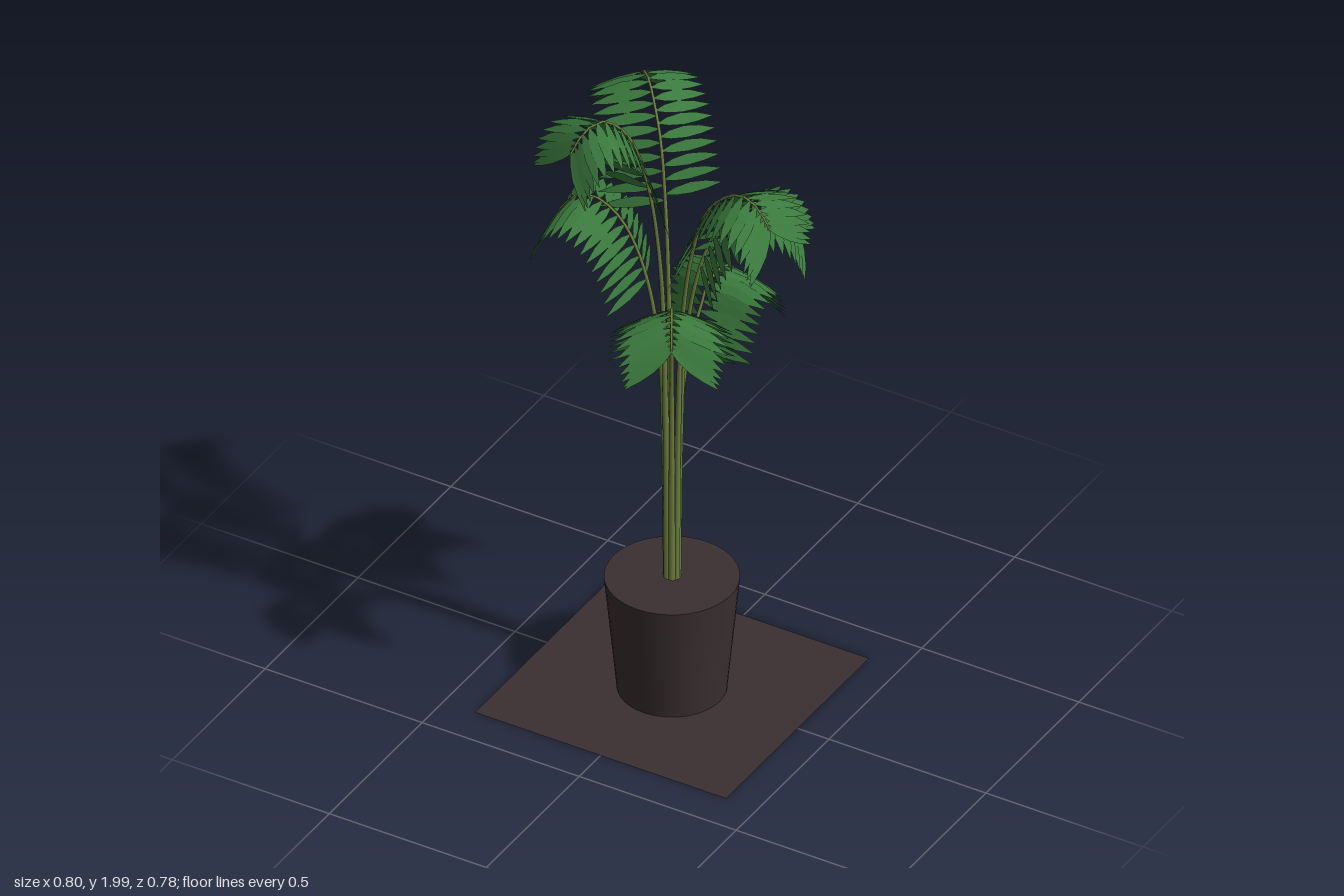
import * as THREE from 'three';

const leafGreen = new THREE.MeshStandardMaterial({ color: 0x3a793d, side: THREE.DoubleSide });
leafGreen.name = 'leafGreen';
const stemOlive = new THREE.MeshStandardMaterial({ color: 0x6f8240 });
stemOlive.name = 'stemOlive';
const potBrown = new THREE.MeshStandardMaterial({ color: 0x3a2f31, side: THREE.DoubleSide });
potBrown.name = 'potBrown';

const POT_HEIGHT = 0.37;
const UP = new THREE.Vector3(0, 1, 0);

// Tip x, tip z and peak height of every frond
const FRONDS = [
  [-0.26, -0.26, 1.87],
  [0.05, -0.28, 1.3],
  [0.31, -0.145, 1.65],
  [0.345, 0.055, 1.765],
  [0.155, 0.265, 1.415],
  [-0.145, 0.3, 1.995],
  [-0.325, 0.055, 1.595],
];

function addMesh(group, name, geometry, material) {
  const mesh = new THREE.Mesh(geometry, material);
  mesh.name = name;
  group.add(mesh);
  return mesh;
}

// Upright stalk that arches outward and droops at its end
function frondCurve(out, reach, peak) {
  const at = (r, y) => out.clone().multiplyScalar(r).setY(y);
  return new THREE.CatmullRomCurve3([
    at(0.014, POT_HEIGHT - 0.02),
    at(0.022, peak * 0.5),
    at(0.036, peak * 0.7),
    at(0.073, peak * 0.845),
    at(0.122, peak * 0.932),
    at(reach * 0.52, peak * 0.975),
    at(reach * 0.7, peak - 0.006),
    at(reach * 0.86, peak - 0.018),
    at(reach, peak - 0.075),
  ]);
}

// Tube whose radius shrinks toward the tip
function taperedTube(curve) {
  const segments = 40, sides = 7;
  const geometry = new THREE.TubeGeometry(curve, segments, 1, sides);
  const pos = geometry.attributes.position;
  const v = new THREE.Vector3();
  for (let i = 0; i <= segments; i++) {
    const u = i / segments;
    const centre = curve.getPointAt(u);
    const radius = THREE.MathUtils.lerp(0.0115, 0.003, u);
    for (let j = 0; j <= sides; j++) {
      const k = i * (sides + 1) + j;
      v.fromBufferAttribute(pos, k).sub(centre).multiplyScalar(radius).add(centre);
      pos.setXYZ(k, v.x, v.y, v.z);
    }
  }
  return geometry;
}

// Adds one pointed blade, made of cross-sections along its length
function addLeaflet(positions, index, base, dir, tangent, length, width) {
  const profile = [[0, 0.12], [0.18, 0.7], [0.45, 1], [0.72, 0.72], [1, 0.02]];
  const normal = dir.clone().cross(tangent).normalize();
  const across = normal.cross(dir).normalize();
  const first = positions.length / 3;
  profile.forEach(([t, w], i) => {
    const centre = base.clone().addScaledVector(dir, length * t);
    centre.y -= 0.018 * t * t;
    for (const s of [-1, 1]) {
      const p = centre.clone().addScaledVector(across, s * w * width / 2);
      positions.push(p.x, p.y, p.z);
    }
    if (i > 0) {
      const a = first + (i - 1) * 2;
      index.push(a, a + 1, a + 2, a + 1, a + 3, a + 2);
    }
  });
}

// Paired leaflets, denser and more drooping toward the tip
function leafletGeometry(curve, out, peak) {
  const side = out.clone().cross(UP).normalize();
  const positions = [], index = [];
  const pairs = 17;

  // Find where the stalk first reaches the leafy zone
  let start = 0.5;
  while (curve.getPointAt(start).y < peak * 0.845) start += 0.005;

  for (let i = 0; i < pairs; i++) {
    for (const s of [-1, 1]) {
      const t = Math.min(1, (i + (s > 0 ? 0.4 : 0)) / (pairs - 1));
      const u = start + (1 - start) * (1 - Math.pow(1 - t, 1.45));
      const base = curve.getPointAt(u);
      const tangent = curve.getTangentAt(u);
      const dir = side.clone().multiplyScalar(s)
        .addScaledVector(out, 0.3)
        .addScaledVector(UP, -0.04 - 0.6 * t * t)
        .normalize();
      const length = 0.185 - 0.025 * t;
      addLeaflet(positions, index, base, dir, tangent, length, 0.034);
    }
  }
  const geometry = new THREE.BufferGeometry();
  geometry.setAttribute('position', new THREE.Float32BufferAttribute(positions, 3));
  geometry.setIndex(index);
  geometry.computeVertexNormals();
  return geometry;
}

export function createModel() {
  const model = new THREE.Group();
  model.name = 'pottedPalm';

  // Flat ground sheet
  const sheet = new THREE.PlaneGeometry(0.8, 0.77).rotateX(-Math.PI / 2);
  addMesh(model, 'baseSheet', sheet, potBrown);

  // Tapered pot, closed at the top
  const pot = addMesh(model, 'pot', new THREE.CylinderGeometry(0.187, 0.152, POT_HEIGHT - 0.001, 40), potBrown);
  pot.position.y = POT_HEIGHT / 2 + 0.0005;

  // Fronds fanning out around the centre
  for (const [x, z, peak] of FRONDS) {
    const frond = new THREE.Group();
    frond.name = 'frond';
    const out = new THREE.Vector3(x, 0, z);
    const reach = out.length();
    out.normalize();
    const curve = frondCurve(out, reach, peak);
    addMesh(frond, 'stem', taperedTube(curve), stemOlive);
    addMesh(frond, 'leaflets', leafletGeometry(curve, out, peak), leafGreen);
    model.add(frond);
  }
  return model;
}
